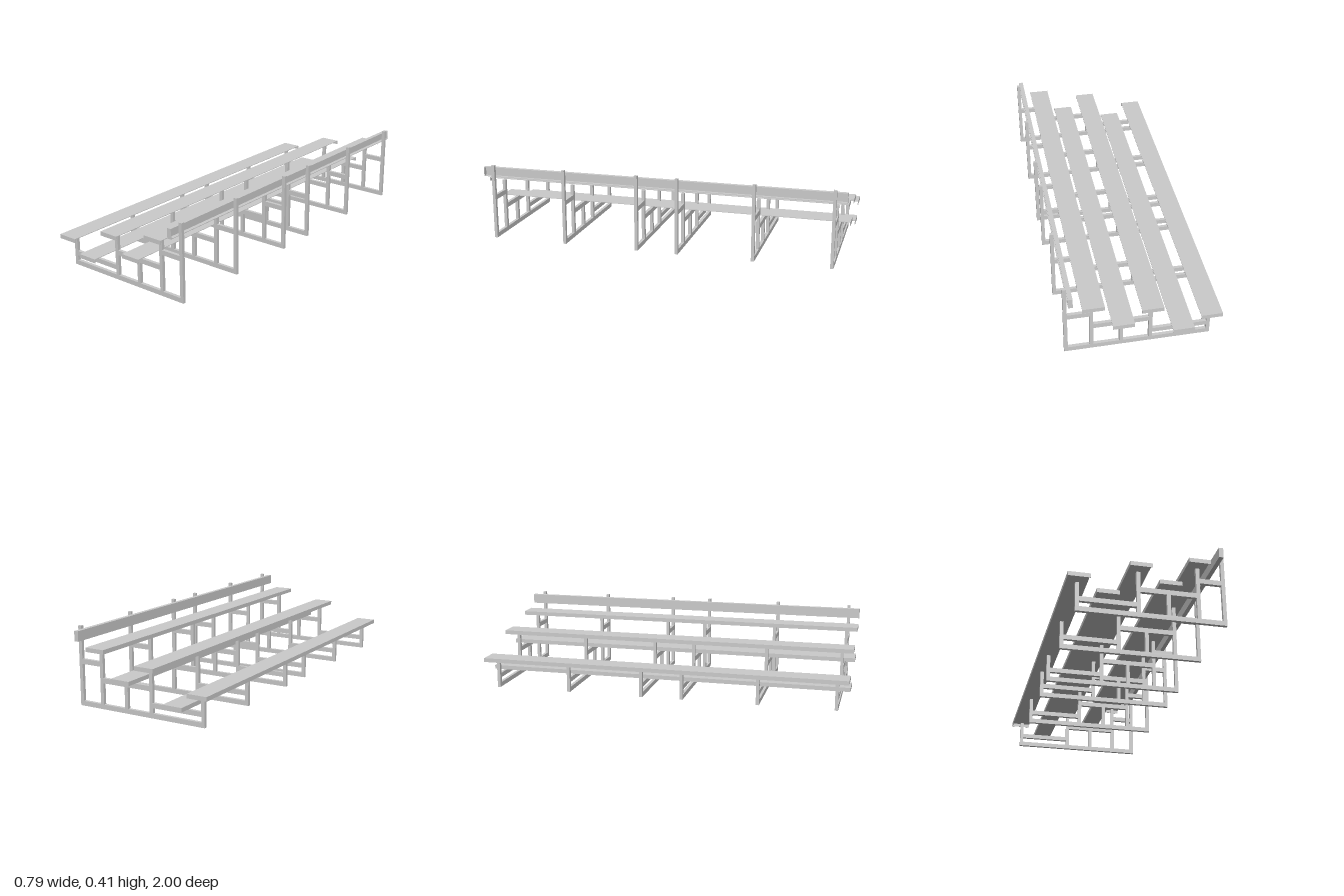
import * as THREE from 'three';

const material = new THREE.MeshStandardMaterial({ color: 0xcccccc });
const LENGTH = 2, SHEET = 0.003, BAR = 0.017;

// Box given by its lower and upper limits
function block(name, x0, x1, y0, y1, z0, z1) {
  const mesh = new THREE.Mesh(new THREE.BoxGeometry(x1 - x0, y1 - y0, z1 - z0), material);
  mesh.position.set((x0 + x1) / 2, (y0 + y1) / 2, (z0 + z1) / 2);
  mesh.name = name;
  return mesh;
}

// Folded sheet plank: top, front lip and two end caps, open below and behind
function plank(name, x0, y0) {
  const g = new THREE.Group();
  g.name = name;
  const x1 = x0 + 0.11, y1 = y0 + 0.022, h = LENGTH / 2;
  g.add(block('plankTop', x0, x1, y1 - SHEET, y1, -h, h));
  g.add(block('plankLip', x0, x0 + SHEET, y0, y1 - SHEET, -h, h));
  for (const s of [-1, 1]) {
    const z = s * (h - SHEET / 2);
    g.add(block('plankEnd', x0 + SHEET, x1, y0, y1 - SHEET, z - SHEET / 2, z + SHEET / 2));
  }
  return g;
}

// Back rail: channel open towards the tall posts
function backRail() {
  const g = new THREE.Group();
  g.name = 'backRail';
  const x0 = 0.352, x1 = 0.375, y0 = 0.347, y1 = 0.4, h = LENGTH / 2;
  g.add(block('railPanel', x0, x0 + SHEET, y0, y1, -h, h));
  g.add(block('railBottom', x0 + SHEET, x1, y0, y0 + SHEET, -h, h));
  g.add(block('railTop', x0 + SHEET, x1, y1 - SHEET, y1, -h, h));
  for (const s of [-1, 1]) {
    const z = s * (h - SHEET / 2);
    g.add(block('railEnd', x0 + SHEET, x1, y0 + SHEET, y1 - SHEET, z - SHEET / 2, z + SHEET / 2));
  }
  return g;
}

// Frame bars: name, x0, x1, y0, y1
const bars = [
  ['baseBar', -0.351, 0.394, 0, 0.025],
  ['frontPost', -0.351, -0.332, 0.025, 0.152],
  ['lowerBeam', -0.332, -0.053, 0.053, 0.078],
  ['secondPost', -0.053, -0.034, 0.025, 0.245],
  ['middleBeam', -0.034, 0.246, 0.136, 0.162],
  ['shortPost', 0.096, 0.115, 0.025, 0.136],
  ['thirdPost', 0.246, 0.265, 0.025, 0.301],
  ['upperBeam', 0.265, 0.375, 0.219, 0.245],
  ['backPost', 0.375, 0.394, 0.025, 0.415],
];

function frame(z) {
  const g = new THREE.Group();
  g.name = 'frame';
  for (const bar of bars) g.add(block(...bar, -BAR / 2, BAR / 2));
  g.position.z = z;
  return g;
}

export function createModel() {
  const model = new THREE.Group();
  model.name = 'bleachers';

  // Six frames mirrored about the middle
  for (const z of [0.112, 0.525, 0.937]) model.add(frame(z), frame(-z));

  // Seats and footboards
  model.add(plank('lowerSeat', -0.397, 0.152));
  model.add(plank('lowerFootboard', -0.258, 0.078));
  model.add(plank('middleSeat', -0.096, 0.245));
  model.add(plank('upperFootboard', 0.048, 0.162));
  model.add(plank('upperSeat', 0.198, 0.301));

  model.add(backRail());
  return model;
}
